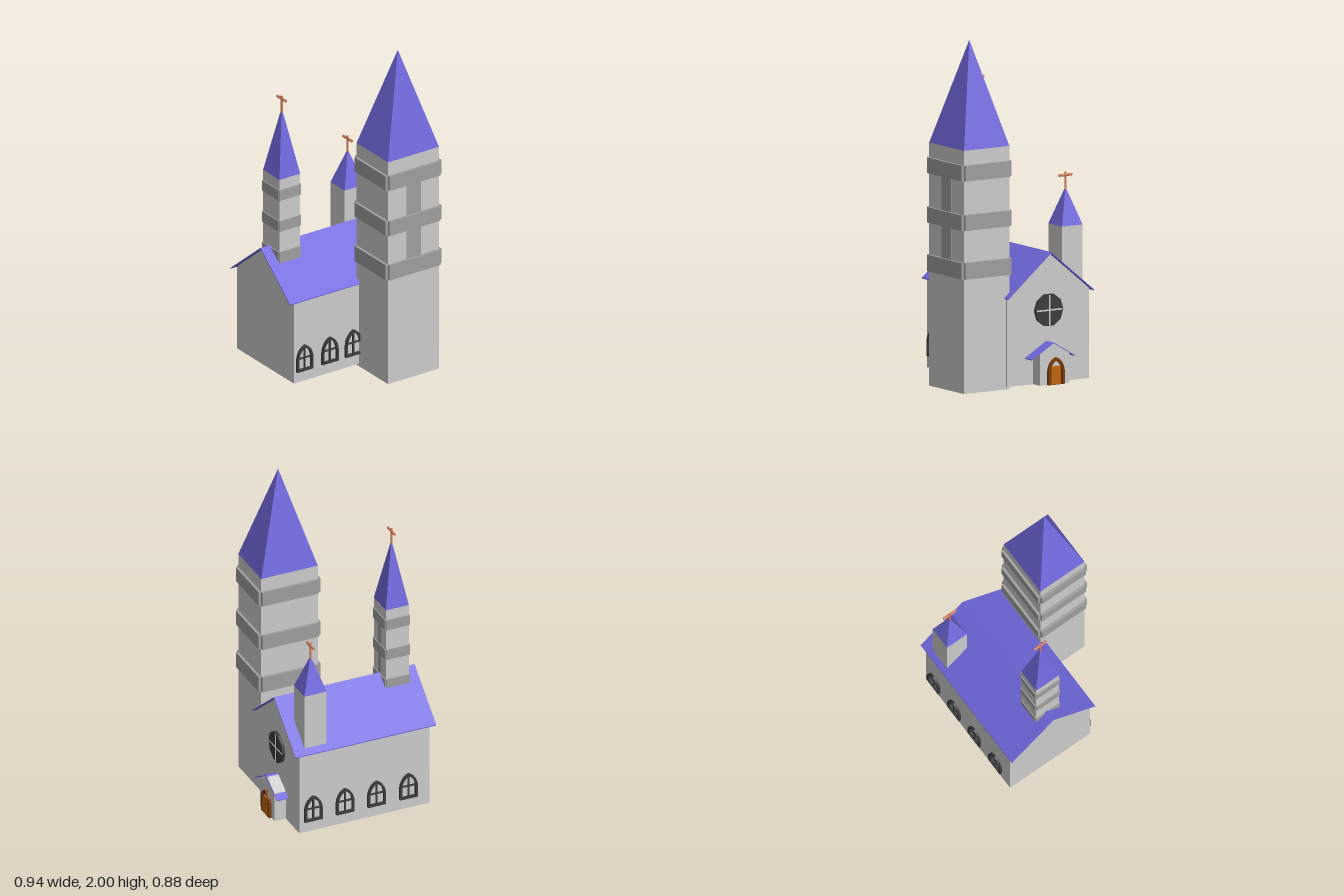
import * as THREE from 'three';

const mat = (color) => new THREE.MeshStandardMaterial({ color, flatShading: true, side: THREE.DoubleSide });

export function createModel() {
  const church = new THREE.Group();
  church.name = 'church';
  const stone = mat(0xcccccc), trim = mat(0x9e9e9e), blue = mat(0x7068dc);
  const dark = mat(0x3c3c3c), copper = mat(0xd07a58), wood = mat(0xc0640c), darkWood = mat(0x7a3c08);

  const add = (parent, name, geo, material, x = 0, y = 0, z = 0) => {
    const m = new THREE.Mesh(geo, material);
    m.name = name;
    m.position.set(x, y, z);
    parent.add(m);
    return m;
  };
  const group = (name, x = 0, y = 0, z = 0, ry = 0) => {
    const g = new THREE.Group();
    g.name = name;
    g.position.set(x, y, z);
    g.rotation.y = ry;
    church.add(g);
    return g;
  };
  const box = (parent, name, material, w, h, d, x, y, z) =>
    add(parent, name, new THREE.BoxGeometry(w, h, d), material, x, y, z);

  // Prism along x from a [z, y] outline
  const prism = (name, outline, x0, x1, material) => {
    const shape = new THREE.Shape(outline.map(([z, y]) => new THREE.Vector2(-z, y)));
    const geo = new THREE.ExtrudeGeometry(shape, { depth: x1 - x0, bevelEnabled: false });
    geo.rotateY(Math.PI / 2);
    return add(church, name, geo, material, x0);
  };
  // Thin folded roof sheet
  const roof = (name, zc, half, eave, ridge, x0, x1, t = 0.006) =>
    prism(name, [[zc + half, eave], [zc, ridge], [zc - half, eave], [zc - half, eave - t],
      [zc, ridge - t], [zc + half, eave - t]], x0, x1, blue);

  // Pointed arch outline standing on y = 0
  const tracePointed = (path, w, h, spring, base) => {
    path.moveTo(-w / 2, base);
    path.lineTo(w / 2, base);
    path.lineTo(w / 2, spring);
    path.quadraticCurveTo(w / 2 * 0.9, spring + (h - spring) * 0.75, 0, h);
    path.quadraticCurveTo(-w / 2 * 0.9, spring + (h - spring) * 0.75, -w / 2, spring);
    path.lineTo(-w / 2, base);
    return path;
  };
  const archFrame = (w, h, spring, t, sill, depth) => {
    const shape = tracePointed(new THREE.Shape(), w, h, spring, 0);
    shape.holes.push(tracePointed(new THREE.Path(), w - 2 * t, h - t * 1.2, spring, sill));
    return new THREE.ExtrudeGeometry(shape, { depth, bevelEnabled: false, curveSegments: 5 });
  };

  // Nave and roof
  prism('nave', [[0.135, 0.015], [0.135, 0.535], [-0.145, 0.765], [-0.425, 0.535], [-0.425, 0.015]],
    -0.435, 0.38, stone);
  roof('naveRoof', -0.146, 0.293, 0.528, 0.77, -0.47, 0.41);

  // Side windows with mullions
  const addWindow = (x, z, ry) => {
    const g = group('sideWindow', x, 0.083, z, ry);
    add(g, 'windowFrame', archFrame(0.112, 0.162, 0.075, 0.014, 0.014, 0.015), dark);
    box(g, 'mullion', dark, 0.008, 0.145, 0.01, 0, 0.078, 0.005);
    box(g, 'crossbar', dark, 0.095, 0.008, 0.01, 0, 0.08, 0.005);
  };
  [-0.365, -0.19, -0.027].forEach((x) => addWindow(x, 0.135, 0));
  [-0.3, -0.1, 0.097, 0.295].forEach((x) => addWindow(x, -0.425, Math.PI));

  // Round gable window
  const rose = group('roundWindow', 0.38, 0.435, -0.142, Math.PI / 2);
  const disc = new THREE.CylinderGeometry(0.095, 0.095, 0.018, 10);
  disc.rotateX(Math.PI / 2);
  disc.rotateZ(Math.PI / 10);
  add(rose, 'pane', disc, dark, 0, 0, 0.009);
  box(rose, 'verticalBar', stone, 0.009, 0.175, 0.004, 0, 0, 0.018);
  box(rose, 'horizontalBar', stone, 0.175, 0.009, 0.004, 0, 0, 0.018);

  // Porch and door
  prism('porch', [[-0.043, 0.015], [-0.043, 0.195], [-0.143, 0.252], [-0.243, 0.195], [-0.243, 0.015]],
    0.37, 0.45, stone);
  roof('porchRoof', -0.133, 0.147, 0.171, 0.257, 0.375, 0.453, 0.005);
  const door = group('door', 0.45, 0.015, -0.146, Math.PI / 2);
  add(door, 'doorFrame', archFrame(0.112, 0.157, 0.075, 0.015, 0.002, 0.016), darkWood);
  box(door, 'doorLeaf', wood, 0.064, 0.105, 0.01, 0, 0.0525, 0.005);

  // Four-sided spire on a rectangular base
  const spire = (g, w, d, y, h) => {
    const geo = new THREE.ConeGeometry(Math.SQRT1_2, 1, 4);
    geo.rotateY(Math.PI / 4);
    geo.scale(w, h, d);
    add(g, 'spire', geo, blue, 0, y + h / 2, 0);
  };
  // Two crossed boxes leave notched corners
  const band = (g, w, d, y0, y1, out) => {
    box(g, 'band', trim, w + 2 * out, y1 - y0, d, 0, (y0 + y1) / 2, 0);
    box(g, 'band', trim, w, y1 - y0, d + 2 * out, 0, (y0 + y1) / 2, 0);
  };
  const cross = (g, y0, y1) => {
    add(g, 'crossPost', new THREE.CylinderGeometry(0.0065, 0.0065, y1 - y0, 8), copper, 0, (y0 + y1) / 2, 0);
    const arm = new THREE.CylinderGeometry(0.0075, 0.0075, 0.088, 8);
    arm.rotateX(Math.PI / 2);
    add(g, 'crossArm', arm, copper, 0, y1 - 0.018, 0);
  };

  // Bell tower
  const tower = group('bellTower', 0.192, 0, 0.268);
  box(tower, 'towerShaft', stone, 0.354, 1.4, 0.31, 0, 0.7, 0);
  [[0.66, 0.755], [0.94, 1.03], [1.225, 1.315]].forEach(([a, b]) => band(tower, 0.354, 0.31, a, b, 0.016));
  box(tower, 'towerPanel', trim, 0.1, 0.48, 0.01, 0, 0.99, 0.152);
  spire(tower, 0.354, 0.31, 1.4, 0.6);

  // Ridge tower
  const ridge = group('ridgeTower', -0.329, 0, -0.137);
  box(ridge, 'ridgeShaft', stone, 0.144, 0.615, 0.162, 0, 0.907, 0);
  [[0.69, 0.76], [0.89, 0.955], [1.085, 1.15]].forEach(([a, b]) => band(ridge, 0.144, 0.162, a, b, 0.006));
  box(ridge, 'ridgePanel', trim, 0.006, 0.34, 0.038, 0.071, 0.92, 0);
  spire(ridge, 0.144, 0.162, 1.215, 0.405);
  cross(ridge, 1.57, 1.695);

  // Rear turret
  const turret = group('rearTurret', 0.27, 0, -0.337);
  box(turret, 'turretShaft', stone, 0.14, 0.375, 0.14, 0, 0.7075, 0);
  spire(turret, 0.14, 0.14, 0.895, 0.215);
  cross(turret, 1.07, 1.195);

  return church;
}
